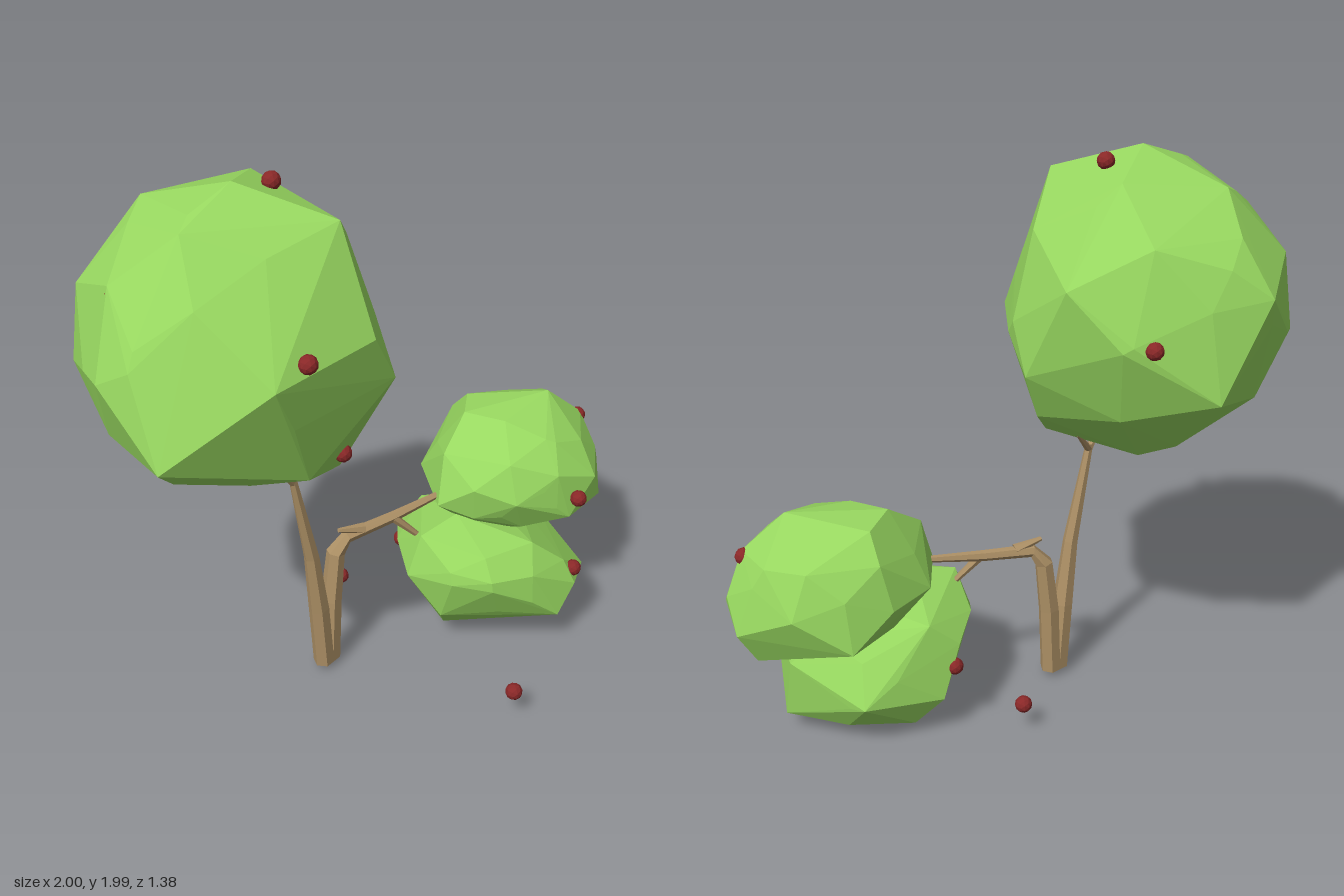
import * as THREE from 'three';
import { ConvexGeometry } from 'three/addons/geometries/ConvexGeometry.js';

const mat = (name, color) => Object.assign(new THREE.MeshStandardMaterial({ color }), { name });

// Faceted foliage: a hull around its main corners plus a slightly smaller, uneven ball.
// tilt slopes the ball downwards along +x.
function crownGeometry({ center: [cx, cy, cz], radii: [rx, ry, rz], tilt = 0, corners }) {
  const pts = corners.map(([x, y, z]) => new THREE.Vector3(x, y, z));
  const ball = new THREE.IcosahedronGeometry(1, 1).rotateX(0.4).rotateY(0.7).getAttribute('position');
  for (let i = 0; i < ball.count; i++) {
    const v = new THREE.Vector3().fromBufferAttribute(ball, i);
    v.multiplyScalar(0.945 + 0.03 * Math.sin(v.x * 7 + v.y * 11 + v.z * 5));
    pts.push(new THREE.Vector3(cx + v.x * rx, cy + v.y * ry - tilt * v.x * rx, cz + v.z * rz));
  }
  return new ConvexGeometry(pts);
}

// Tapered faceted limb through [x, y, z, radius] stations, closed at both ends.
function limbGeometry(stations, sides = 6) {
  const centers = stations.map(([x, y, z]) => new THREE.Vector3(x, y, z));
  const up = new THREE.Vector3(0, 1, 0);
  const pos = [], idx = [];
  centers.forEach((c, i) => {
    const a = centers[Math.max(i - 1, 0)], b = centers[Math.min(i + 1, centers.length - 1)];
    const dir = i === 0 && c.y < 0.1 ? up : b.clone().sub(a).normalize();
    const q = new THREE.Quaternion().setFromUnitVectors(up, dir);
    for (let k = 0; k < sides; k++) {
      const t = (k / sides) * Math.PI * 2, r = stations[i][3];
      const p = new THREE.Vector3(Math.cos(t) * r, 0, -Math.sin(t) * r).applyQuaternion(q).add(c);
      pos.push(p.x, p.y, p.z);
    }
  });
  for (let i = 0; i < centers.length - 1; i++) {
    for (let k = 0; k < sides; k++) {
      const a = i * sides + k, b = i * sides + (k + 1) % sides;
      idx.push(a, b, b + sides, a, b + sides, a + sides);
    }
  }
  const last = (centers.length - 1) * sides;
  for (let k = 1; k < sides - 1; k++) {
    idx.push(0, k + 1, k, last, last + k, last + k + 1);
  }
  const g = new THREE.BufferGeometry();
  g.setAttribute('position', new THREE.Float32BufferAttribute(pos, 3));
  g.setIndex(idx);
  const flat = g.toNonIndexed();
  flat.computeVertexNormals();
  return flat;
}

export function createModel() {
  const model = new THREE.Group();
  model.name = 'fruitTree';
  const leaf = mat('leafGreen', 0x98d860);
  const bark = mat('barkBrown', 0xae9166);
  const red = mat('fruitRed', 0x8a2828);
  const add = (name, geometry, material) => {
    const mesh = new THREE.Mesh(geometry, material);
    mesh.name = name;
    model.add(mesh);
    return mesh;
  };

  // Foliage
  add('largeCrown', crownGeometry({
    center: [-0.48, 1.47, -0.18], radii: [0.52, 0.52, 0.5],
    corners: [
      [-1, 1.3, 0.04], [-0.98, 1.5, -0.22], [-0.93, 1.63, -0.1], [-0.72, 1.92, -0.1], [-0.48, 2, -0.12],
      [-0.24, 1.93, -0.27], [0.02, 1.63, -0.3], [0.04, 1.3, -0.13], [-0.04, 1.13, -0.1], [-0.24, 0.97, 0.08],
      [-0.36, 0.95, -0.27], [-0.52, 0.96, -0.1], [-0.73, 1.04, -0.2],
      [-0.74, 1.54, 0.27], [-0.35, 1.57, 0.32], [-0.24, 1.39, 0.31], [-0.55, 1.13, 0.22], [-0.32, 1.9, 0.16],
      [-0.55, 1.9, -0.44], [-0.4, 1.69, -0.61], [-0.52, 1.59, -0.69], [-0.32, 1.27, -0.67], [-0.4, 1.02, -0.41],
      [-0.88, 1.45, -0.4], [-0.75, 1.4, -0.57], [-0.07, 1.45, -0.47], [-0.03, 1.4, 0.04], [-0.18, 1.4, 0.21],
    ],
  }), leaf);
  add('upperBush', crownGeometry({
    center: [0.62, 0.62, 0.22], radii: [0.37, 0.255, 0.315],
    corners: [
      [0.23, 0.58, 0.15], [0.3, 0.76, 0.12], [0.45, 0.86, 0.1], [0.75, 0.88, 0.27], [0.91, 0.77, 0.15],
      [1, 0.53, 0.2], [0.93, 0.41, 0.2], [0.7, 0.37, 0.16], [0.35, 0.47, 0.25],
      [0.58, 0.79, 0.42], [0.46, 0.65, 0.46], [0.68, 0.64, 0.54], [0.74, 0.53, 0.53], [0.55, 0.52, 0.52],
      [0.92, 0.55, 0.41], [0.6, 0.4, 0.37], [0.58, 0.85, 0.02], [0.6, 0.76, -0.06], [0.58, 0.6, -0.1],
      [0.74, 0.49, -0.09], [0.39, 0.6, -0.05], [0.91, 0.6, 0.07], [0.35, 0.55, 0.35],
    ],
  }), leaf);
  add('lowerBush', crownGeometry({
    center: [0.43, 0.27, 0.24], radii: [0.34, 0.22, 0.33], tilt: 0.3,
    corners: [
      [0.08, 0.34, 0.13], [0.13, 0.5, 0.15], [0.28, 0.54, 0.2], [0.51, 0.49, 0.15], [0.68, 0.4, 0.2],
      [0.78, 0.31, 0.25], [0.78, 0.08, 0.3], [0.51, 0.01, 0.31], [0.22, 0.07, 0.2], [0.13, 0.18, 0.25],
      [0.5, 0.36, 0.54], [0.4, 0.46, 0.46], [0.51, 0.27, 0.59], [0.42, 0.17, 0.58], [0.66, 0.25, 0.53],
      [0.5, 0.06, 0.47], [0.19, 0.38, 0.43], [0.11, 0.36, 0.31], [0.17, 0.4, 0.01], [0.3, 0.36, -0.09],
      [0.38, 0.17, -0.1], [0.4, 0.45, -0.05], [0.45, 0.06, -0.02], [0.66, 0.2, -0.02],
    ],
  }), leaf);

  // Trunk, forking into a tall limb and a sideways limb
  const limbs = {
    tallLimb: [[-0.21, 0.035, -0.035, 0.039], [-0.232, 0.3, -0.035, 0.038], [-0.265, 0.55, -0.035, 0.028], [-0.345, 0.92, -0.04, 0.014]],
    tallTwigRight: [[-0.342, 0.9, -0.04, 0.014], [-0.42, 1.0, -0.03, 0.008]],
    tallTwigLeft: [[-0.342, 0.9, -0.04, 0.014], [-0.26, 0.99, -0.07, 0.008]],
    sideLimb: [[-0.176, 0.035, -0.035, 0.039], [-0.163, 0.3, -0.035, 0.039], [-0.14, 0.5, -0.03, 0.034],
      [-0.1, 0.555, -0.01, 0.024], [0.08, 0.57, 0.055, 0.02], [0.3, 0.6, 0.13, 0.011]],
    sideStub: [[-0.04, 0.568, 0.015, 0.022], [-0.135, 0.597, -0.02, 0.008]],
    sideTwig: [[0.08, 0.57, 0.06, 0.017], [0.17, 0.46, 0.12, 0.01]],
  };
  for (const [name, stations] of Object.entries(limbs)) add(name, limbGeometry(stations), bark);

  // Faceted fruit in the leaves, with two fallen ones
  const fruitGeometry = new THREE.IcosahedronGeometry(0.031, 1);
  fruitGeometry.computeVertexNormals();
  [
    [-0.33, 1.96, -0.1], [-0.61, 1.585, 0.28], [-0.33, 1.1, 0.17], [-0.15, 1.46, -0.53], [-0.85, 1.73, -0.25],
    [0.88, 0.735, 0.33], [0.57, 0.6, 0.54], [0.54, 0.31, 0.56], [0.32, 0.275, -0.085],
    [0.015, 0.12, 0.66], [0.14, 0.12, -0.245],
  ].forEach(([x, y, z], i) => add(`fruit${i + 1}`, fruitGeometry, red).position.set(x, y, z));

  return model;
}
